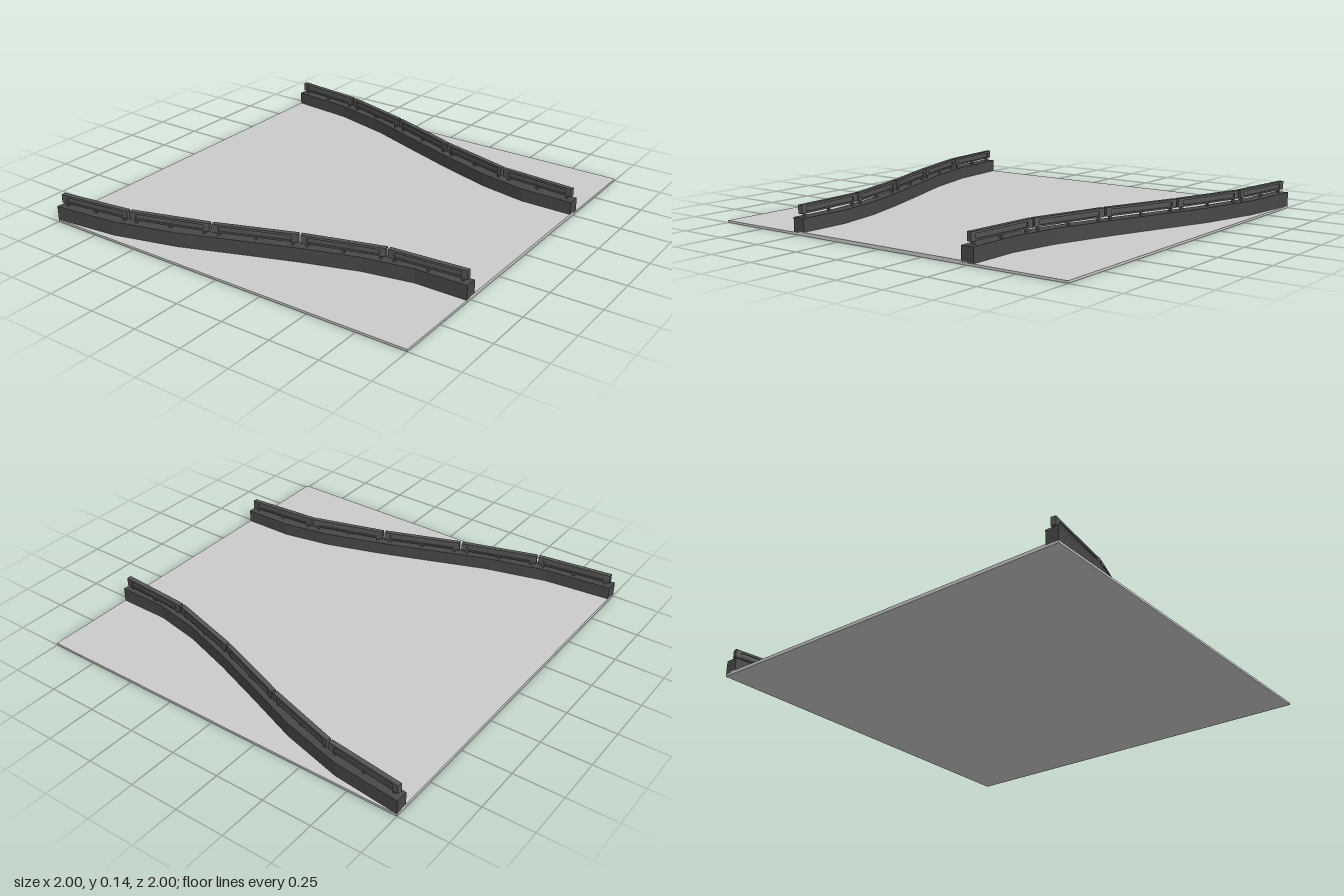
import * as THREE from 'three';

const roadMat = new THREE.MeshStandardMaterial({ color: 0xcccccc, flatShading: true });
const wallMat = new THREE.MeshStandardMaterial({ color: 0x484848, flatShading: true });
const railMat = new THREE.MeshStandardMaterial({ color: 0x555555, flatShading: true });

// Centreline of one wall as [distance from the middle, z], back to front
const path = [[0.967, -1], [0.931, -0.66], [0.846, -0.34], [0.74, -0.06],
  [0.637, 0.22], [0.55, 0.49], [0.502, 0.735], [0.5, 1]];
const HALF = 0.0325;

// Distance of the centreline from the middle at a given z
function centreAt(z) {
  const i = Math.max(1, path.findIndex((p) => p[1] >= z));
  const [x0, z0] = path[i - 1];
  const [x1, z1] = path[i];
  return x0 + (x1 - x0) * (z - z0) / (z1 - z0);
}

// Plan outline of [x, z] points raised from y = bottom to y = top
function plate(name, outline, bottom, top, mat) {
  const shape = new THREE.Shape(outline.map(([x, z]) => new THREE.Vector2(x, z)));
  const geo = new THREE.ExtrudeGeometry(shape, { depth: top - bottom, bevelEnabled: false });
  geo.rotateX(Math.PI / 2).translate(0, top, 0);
  const mesh = new THREE.Mesh(geo, mat);
  mesh.name = name;
  return mesh;
}

function box(parent, name, size, pos, mat) {
  const mesh = new THREE.Mesh(new THREE.BoxGeometry(...size), mat);
  mesh.position.set(...pos);
  mesh.name = name;
  parent.add(mesh);
}

// Straight rail of the given length along z, with a framed panel on both faces
function makeRail(length) {
  const rail = new THREE.Group();
  rail.name = 'guardRail';
  box(rail, 'railPanel', [0.012, 0.036, length - 0.01], [0, 0.119, 0], railMat);
  box(rail, 'railTop', [0.024, 0.011, length], [0, 0.1345, 0], railMat);
  box(rail, 'railBottom', [0.024, 0.008, length], [0, 0.102, 0], railMat);
  for (const s of [-1, 1]) {
    box(rail, 'railEnd', [0.024, 0.042, 0.03], [0, 0.119, s * (length / 2 - 0.015)], railMat);
  }
  for (const t of [-0.43, 0, 0.43]) {
    box(rail, 'railPost', [0.012, 0.026, 0.012], [0, 0.09, t * length], railMat);
  }
  return rail;
}

export function createModel() {
  const model = new THREE.Group();
  model.name = 'narrowingRoad';

  // Ground and the road surface between the walls
  box(model, 'ground', [2, 0.011, 2], [0, 0.0055, 0], roadMat);
  const surface = [...path, ...path.map(([x, z]) => [-x, z]).reverse()];
  model.add(plate('roadSurface', surface, 0.005, 0.017, roadMat));

  for (const side of [1, -1]) {
    const barrier = new THREE.Group();
    barrier.name = side > 0 ? 'leftBarrier' : 'rightBarrier';
    model.add(barrier);

    // Curved wall
    const outer = path.map(([x, z]) => [side * (x + HALF), z]);
    const inner = path.map(([x, z]) => [side * (x - HALF), z]).reverse();
    barrier.add(plate('wall', [...outer, ...inner], 0.009, 0.082, wallMat));

    // Five straight rails following the curve
    for (let i = 0; i < 5; i++) {
      const z = -0.795 + i * 0.3975;
      const half = 0.197;
      const xa = side * centreAt(z - half);
      const xb = side * centreAt(z + half);
      const rail = makeRail(Math.hypot(xb - xa, 2 * half) - 0.008);
      rail.position.set((xa + xb) / 2, 0, z);
      rail.rotation.y = Math.atan2(xb - xa, 2 * half);
      barrier.add(rail);
    }
  }
  return model;
}
